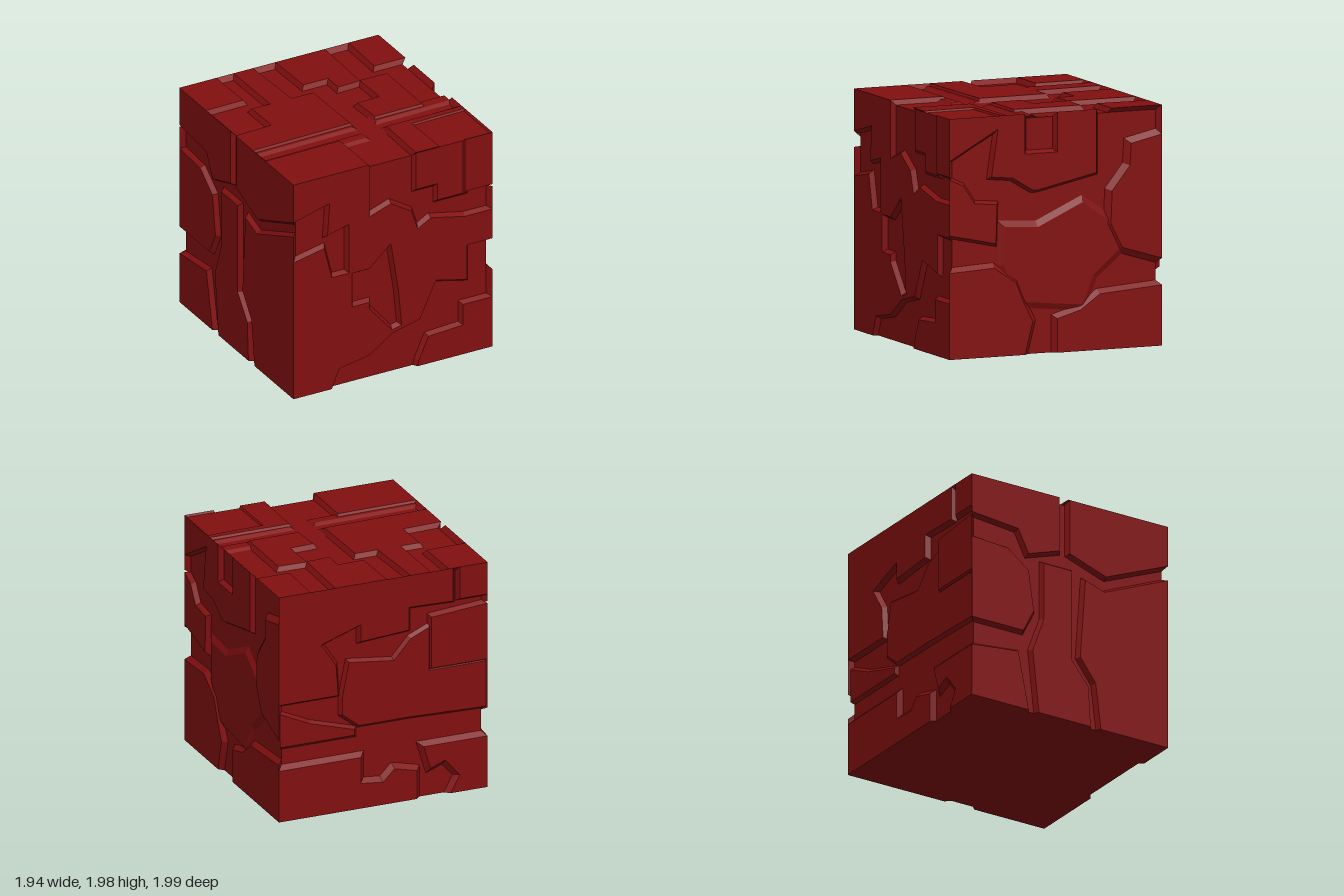
import * as THREE from 'three';

const HX = 0.927, HZ = 0.951, H = 1.98; // half width, half depth, height
const D = 0.04;                         // depth of the recesses
const material = new THREE.MeshStandardMaterial({ color: 0x820f10, flatShading: true });

// Moves every edge of a ring by its own distance (positive is outward) and mitres the corners
function offsetRing(ring, amounts) {
  const count = ring.length;
  const normals = ring.map((p, i) => {
    const q = ring[(i + 1) % count];
    return new THREE.Vector2(q.y - p.y, p.x - q.x).normalize();
  });
  return ring.map((p, i) => {
    const k = (i + count - 1) % count, a = normals[k], b = normals[i];
    const det = a.x * b.y - a.y * b.x;
    const move = Math.abs(det) < 0.05
      ? b.clone().multiplyScalar(amounts[i])
      : new THREE.Vector2((amounts[k] * b.y - amounts[i] * a.y) / det, (a.x * amounts[i] - b.x * amounts[k]) / det);
    return move.clampLength(0, 0.09).add(p);
  });
}

// A raised plate with sloped walls; edges on the rim of the block are mitred to meet the next side
function plateGeometry(face, rings, depth, bevel) {
  const tops = [], positions = [];
  const { u: w, low, high } = face;
  const put = (p, z) => positions.push(p.x, p.y, z);
  rings.forEach((points, index) => {
    const ring = points.map(([a, b]) => {
      const [x, y] = face.map(a, b);
      return new THREE.Vector2(THREE.MathUtils.clamp(x, -w, w), THREE.MathUtils.clamp(y, low, high));
    });
    if (THREE.ShapeUtils.isClockWise(ring) !== index > 0) ring.reverse();
    const kinds = ring.map((p, i) => {
      const q = ring[(i + 1) % ring.length];
      if (p.y === q.y && p.y === 0 && low === 0) return 'ground';
      const side = p.x === q.x && Math.abs(p.x) === w;
      const end = p.y === q.y && (p.y === low || p.y === high);
      return side || end ? 'rim' : 'open';
    });
    const shift = (rim, open) => kinds.map(k => (k === 'ground' ? 0 : k === 'rim' ? rim : open));
    const top = offsetRing(ring, shift(-depth, 0));
    const base = offsetRing(ring, shift(-D, bevel));
    tops.push(top);
    top.forEach((p, i) => {
      const j = (i + 1) % top.length;
      put(base[i], -D); put(base[j], -D); put(top[j], -depth);
      put(base[i], -D); put(top[j], -depth); put(p, -depth);
    });
  });
  const all = tops.flat();
  for (const tri of THREE.ShapeUtils.triangulateShape(tops[0], tops.slice(1))) {
    tri.forEach(i => put(all[i], -depth));
  }
  const geometry = new THREE.BufferGeometry();
  geometry.setAttribute('position', new THREE.Float32BufferAttribute(positions, 3));
  geometry.computeVertexNormals();
  return geometry;
}

export function createModel() {
  const model = new THREE.Group();
  model.name = 'crackedStoneBlock';
  const block = new THREE.Group();
  block.name = 'block';
  block.rotation.y = -0.0486;
  model.add(block);

  const core = new THREE.Mesh(new THREE.BoxGeometry(2 * (HX - D), H - D, 2 * (HZ - D)), material);
  core.name = 'core';
  core.position.y = (H - D) / 2;
  block.add(core);

  // One group per side; returns a function that adds plates to it
  function makeFace(name, face, place) {
    const group = new THREE.Group();
    group.name = name;
    place(group);
    block.add(group);
    return (outline, { depth = 0, bevel = 0.025, holes = [] } = {}) => {
      const mesh = new THREE.Mesh(plateGeometry(face, [outline, ...holes], depth, bevel), material);
      mesh.name = name + 'Plate';
      group.add(mesh);
    };
  }
  const wall = (u, map) => ({ u, low: 0, high: H, map });
  const same = (a, b) => [a, b];

  // Front
  const front = makeFace('front', wall(HX, (x, y) => [x + 0.05, y]), g => g.position.set(0, 0, HZ));
  front([[-1, 2], [-.27, 2], [-.27, 1.5], [-.07, 1.57], [.12, 1.45], [.18, 1.27], [.3, 1.34], [.62, 1.27],
    [1, 1.27], [1, 1], [.64, 1], [.64, .68], [.35, .75], [.2, .43], [-.05, .37], [-.27, .22], [-.55, .17],
    [-.62, 0], [-1, 0], [-1, 1.26], [-.69, 1.32], [-.62, 1.03], [-.46, 1.03], [-.46, 1.48], [-.66, 1.43],
    [-.64, 1.72], [-1, 1.63]],
  { holes: [[[-.43, 1.02], [-.27, 1.02], [-.07, 1.2], [0, .75], [.03, .42], [-.06, .4], [-.27, .65], [-.27, .71], [-.43, .71]]] });
  front([[.17, 2], [.64, 2], [.64, 1.48], [.37, 1.48], [.37, 1.63], [.17, 1.63]], { depth: 0.015 });
  front([[.62, 2], [1, 2], [1, 1.5], [.62, 1.5]]);
  front([[.18, 0], [.19, .05], [.28, .25], [.6, .27], [.6, .46], [1, .46], [1, 0]]);

  // Right-hand side (+x), points given as z, y
  const right = makeFace('rightSide', wall(HZ, (z, y) => [0.045 - z, y]), g => {
    g.position.set(HX, 0, 0);
    g.rotation.y = Math.PI / 2;
  });
  right([[1.1, 2], [.32, 2], [.32, 1.65], [.03, 1.65], [.03, 2], [-.32, 2], [-.32, 1.46], [.2, 1.35], [.25, 1.35],
    [.43, 1.46], [.62, 1.48], [.56, 1.87], [.78, 1.75], [1.1, 1.63]]);
  right([[1.1, 1.48], [.87, 1.42], [.77, 1.27], [.57, 1.25], [.58, .93], [1.1, 1.02]]);
  right([[-1, 1.74], [-.63, 1.68], [-.62, 1.5], [-.46, 1.3], [-.45, 1.03], [-.55, .83], [-1, .72]], { bevel: 0.05 });
  right([[.5, 1.06], [.2, 1.04], [-.2, 1.22], [-.45, 1.05], [-.55, .83], [-.3, .62], [-.2, .38], [.3, .43], [.45, .6], [.5, .75]],
    { depth: 0.015, bevel: 0.05 });
  right([[-1, .5], [-.35, .46], [-.18, .34], [.03, .28], [.03, 0], [-1, 0]], { bevel: 0.04 });
  right([[1.1, .71], [.6, .73], [.4, .6], [.33, .43], [.25, .27], [.32, 0], [1.1, 0]], { bevel: 0.04 });

  // Back, points given left to right as seen from behind
  const back = makeFace('back', wall(HX, same), g => {
    g.position.set(0, 0, -HZ);
    g.rotation.y = Math.PI;
  });
  back([[-1, 2], [.62, 2], [.62, 1.69], [.23, 1.7], [.23, 1.5], [-.2, 1.47], [-.2, 1.62], [-.55, 1.5], [-.42, 1.3],
    [-.4, 1.03], [-1, 1.03]]);
  back([[.68, 2], [1, 2], [1, 1.7], [.68, 1.7]]);
  back([[-.3, 1.3], [.1, 1.25], [.25, 1.42], [.41, 1.49], [.41, 1.11], [1, 1.11], [1, .71], [.24, .73], [-.21, .73],
    [-.36, .85], [-.36, 1]], { depth: 0.01 });
  back([[.43, 1.58], [1, 1.62], [1, 1.13], [.43, 1.13]]);
  back([[-1, .95], [-.65, .82], [-.25, .7], [-.25, .65], [-1, .65]], { depth: 0.015 });
  back([[-1, .45], [-.2, .45], [-.2, .22], [0, .2], [.1, .3], [.3, .25], [.3, 0], [-1, 0]], { bevel: 0.04 });
  back([[.36, .45], [1, .45], [1, 0], [.6, 0], [.68, .15], [.55, .3], [.42, .25]], { bevel: 0.04 });

  // Left-hand side (-x)
  const left = makeFace('leftSide', wall(HZ, same), g => {
    g.position.set(-HX, 0, 0);
    g.rotation.y = -Math.PI / 2;
  });
  left([[-1, 2], [-.1, 2], [-.1, 1.5], [-.4, 1.4], [-.5, 1.6], [-1, 1.64]]);
  left([[0, 2], [1, 2], [1, 1.63], [.35, 1.38], [0, 1.5]]);
  left([[1, 1.5], [.34, 1.24], [.15, 1.3], [.1, .6], [.25, .4], [.3, 0], [1, 0]]);
  left([[-1, 1.42], [-.6, 1.4], [-.4, 1.25], [-.35, .9], [-.45, .7], [-1, .7]]);
  left([[-.25, 1.35], [.02, 1.35], [.02, .55], [.18, .35], [.2, 0], [-.3, 0], [-.36, .55], [-.25, .85]]);
  left([[-1, .45], [-.5, .5], [-.4, 0], [-1, 0]]);

  // Top, points given as x, z
  const topFace = { u: HX, low: -HZ, high: HZ, map: (x, z) => [x + 0.0486 * z, 0.0486 * x - z] };
  const top = makeFace('top', topFace, g => {
    g.position.set(0, H, 0);
    g.rotation.x = -Math.PI / 2;
  });
  top([[-1.1, -1.1], [-.53, -1.1], [-.55, -.54], [-1.1, -.56]]);
  top([[-.37, -1.1], [-.19, -1.1], [-.2, -.36], [0, -.35], [-.02, .25], [-1.1, .22], [-1.1, -.07], [-.58, -.06],
    [-.57, -.38], [-.4, -.37]]);
  top([[-1.1, .43], [-.25, .46], [-.28, 1.1], [-1.1, 1.1]]);
  top([[.02, -1.1], [.48, -1.1], [.43, -.32], [.22, -.32], [.23, -.49], [0, -.5]]);
  top([[.43, -.33], [.68, -.31], [.65, .28], [.21, .26], [.21, -.01], [.42, -.01]]);
  top([[.7, -1.1], [.66, -.47], [1.1, -.45], [1.1, -1.1]]);
  top([[.2, .45], [1.1, .49], [1.1, .54], [.4, .52], [.38, 1.1], [.16, 1.1]]);
  top([[.39, .53], [1.1, .55], [1.1, 1.1], [.38, 1.1]], { depth: 0.015 });
  // Shoulders of the valley that crosses the top
  for (const [a, b] of [[-1.1, -.02], [.2, 1.1]]) {
    top([[a, .2 + .03 * a], [b, .2 + .03 * b], [b, .29 + .03 * b], [a, .29 + .03 * a]], { depth: 0.02, bevel: 0.03 });
    top([[a, .42 + .03 * a], [b, .42 + .03 * b], [b, .5 + .03 * b], [a, .5 + .03 * a]], { depth: 0.02, bevel: 0.03 });
  }

  return model;
}
